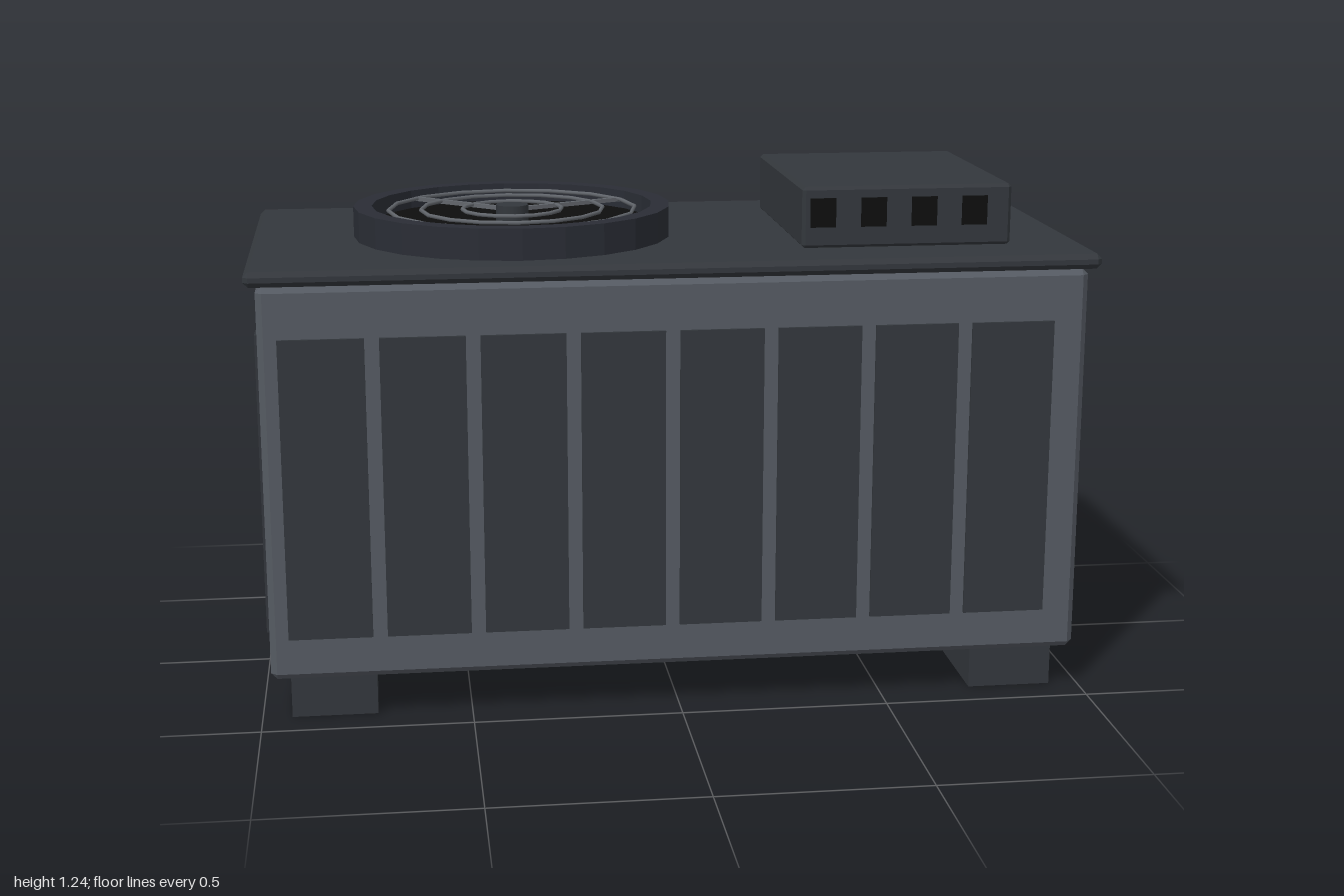
import * as THREE from 'three';
import { ConvexGeometry } from 'three/addons/geometries/ConvexGeometry.js';

const mat = (color) => new THREE.MeshStandardMaterial({ color });
const CASING = mat(0x555a62);
const DARK = mat(0x33373c);
const SHROUD = mat(0x2a2d35);
const BLACK = mat(0x0e0e0e);
const WIRE = mat(0x62666c);

function add(parent, name, geometry, material, x = 0, y = 0, z = 0) {
  const mesh = new THREE.Mesh(geometry, material);
  mesh.name = name;
  mesh.position.set(x, y, z);
  parent.add(mesh);
  return mesh;
}

// Box with every edge chamfered by c
function chamferBox(w, h, d, c) {
  const points = [];
  for (const sx of [-1, 1]) for (const sy of [-1, 1]) for (const sz of [-1, 1]) {
    for (let axis = 0; axis < 3; axis++) {
      const inset = [c, c, c];
      inset[axis] = 0;
      points.push(new THREE.Vector3(
        sx * (w / 2 - inset[0]), sy * (h / 2 - inset[1]), sz * (d / 2 - inset[2])));
    }
  }
  return new ConvexGeometry(points);
}

function createFan() {
  const fan = new THREE.Group();
  fan.name = 'fan';

  // Open collar with a flat rim
  const profile = [[0.345, 0], [0.39, 0], [0.39, 0.075], [0.345, 0.075], [0.345, 0]]
    .map(([r, y]) => new THREE.Vector2(r, y));
  const collar = new THREE.LatheGeometry(profile, 24).toNonIndexed();
  collar.computeVertexNormals();
  add(fan, 'fanCollar', collar, SHROUD);
  add(fan, 'fanWell', new THREE.CylinderGeometry(0.346, 0.346, 0.03, 24), BLACK, 0, 0.015);

  // Guard: concentric wires, two struts and a hub
  for (const r of [0.123, 0.225, 0.305]) {
    add(fan, 'guardRing', new THREE.TorusGeometry(r, 0.005, 6, 16), WIRE, 0, 0.062)
      .rotation.x = Math.PI / 2;
  }
  for (const degrees of [25.5, 138.5]) {
    const strut = new THREE.BoxGeometry(0.31, 0.01, 0.012).translate(0.155, 0, 0);
    add(fan, 'guardStrut', strut, WIRE, 0, 0.06).rotation.y = THREE.MathUtils.degToRad(degrees);
  }
  add(fan, 'fanHub', new THREE.CylinderGeometry(0.04, 0.04, 0.045, 12), DARK, 0, 0.05);
  return fan;
}

export function createModel() {
  const model = new THREE.Group();
  model.name = 'coolingUnit';

  // Cabinet, overhanging lid and skid feet
  add(model, 'cabinet', chamferBox(1.95, 0.945, 0.905, 0.015), CASING, 0, 0.58);
  add(model, 'lid', chamferBox(2, 0.036, 0.945, 0.012), DARK, 0, 1.072);
  for (const side of [-1, 1]) {
    add(model, 'foot', new THREE.BoxGeometry(0.204, 0.12, 0.825), DARK, side * 0.828, 0.06);
  }

  // Front panels
  for (let i = 0; i < 8; i++) {
    add(model, 'frontPanel', new THREE.BoxGeometry(0.198, 0.72, 0.02), DARK,
      -0.831 + i * 0.232, 0.57, 0.45);
  }

  // Slats on both ends
  for (const side of [-1, 1]) {
    for (let i = 0; i < 9; i++) {
      add(model, 'sideSlat', new THREE.BoxGeometry(0.02, 0.72, 0.062), DARK,
        side * 0.973, 0.57, 0.364 - i * 0.093);
    }
  }

  // Roof fan
  const fan = createFan();
  fan.position.set(-0.362, 1.09, 0);
  model.add(fan);

  // Control box with a row of small vents
  add(model, 'controlBox', chamferBox(0.51, 0.148, 0.615, 0.008), DARK, 0.565, 1.163);
  for (let i = 0; i < 4; i++) {
    add(model, 'controlVent', new THREE.BoxGeometry(0.062, 0.07, 0.01), BLACK,
      0.36 + i * 0.123, 1.175, 0.305);
  }
  return model;
}
